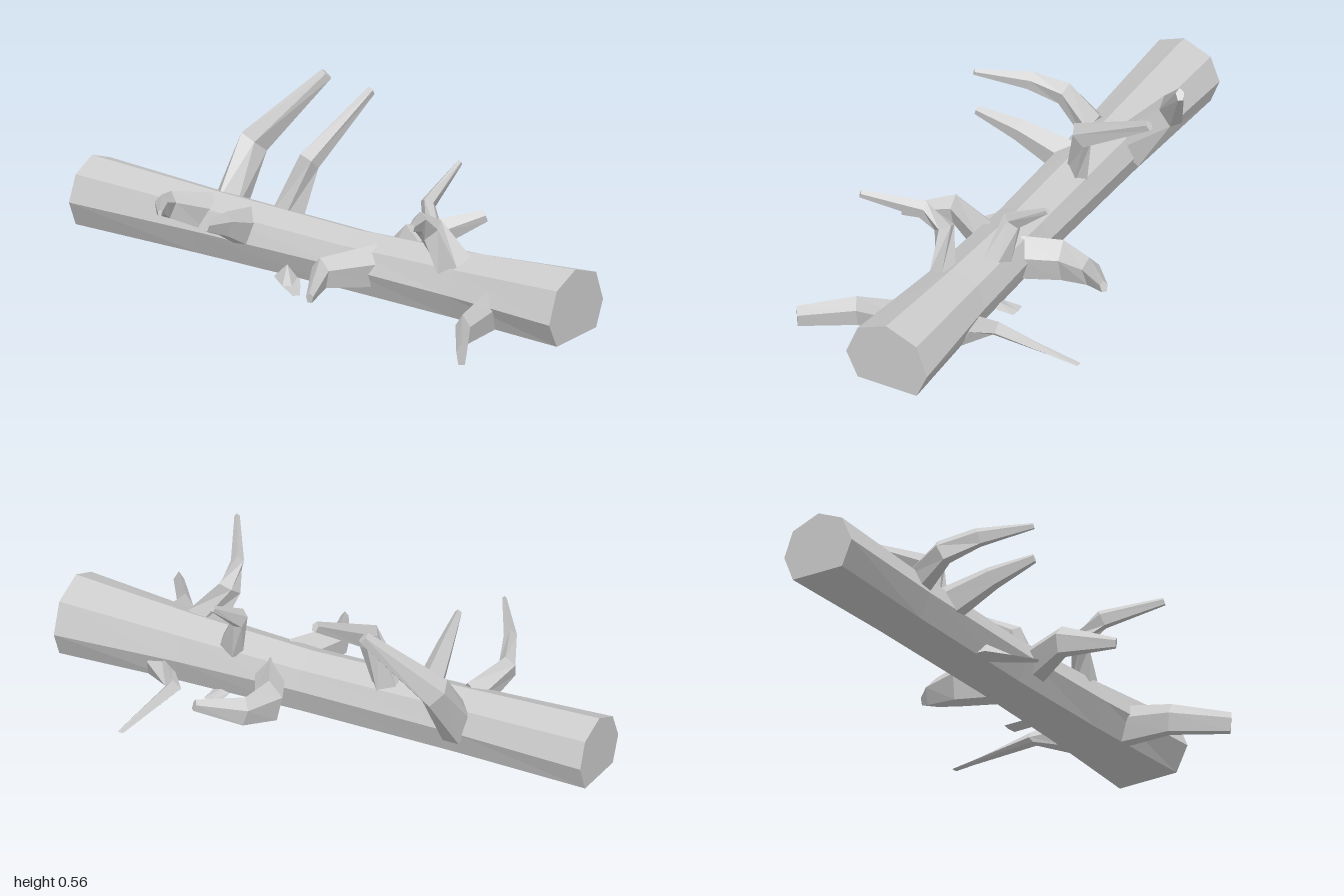
import * as THREE from 'three';

const material = new THREE.MeshStandardMaterial({ color: 0xcccccc, flatShading: true });

// Skin a list of rings (equal point counts, counter-clockwise about the path) and cap both ends
function loft(rings) {
  const n = rings[0].length;
  const pos = [];
  const tri = (...pts) => pts.forEach((p) => pos.push(p.x, p.y, p.z));
  for (let i = 0; i < rings.length - 1; i++) {
    for (let j = 0; j < n; j++) {
      const k = (j + 1) % n;
      const [a, b, c, d] = [rings[i][j], rings[i][k], rings[i + 1][k], rings[i + 1][j]];
      tri(a, b, c);
      tri(a, c, d);
    }
  }
  const first = rings[0], last = rings[rings.length - 1];
  for (let j = 1; j < n - 1; j++) {
    tri(first[0], first[j + 1], first[j]);
    tri(last[0], last[j], last[j + 1]);
  }
  const g = new THREE.BufferGeometry();
  g.setAttribute('position', new THREE.Float32BufferAttribute(pos, 3));
  g.computeVertexNormals();
  return g;
}

// Trunk: flat-bottomed heptagon, slimmer in the middle; rows are [z, width scale, height scale]
function trunkGeometry() {
  const section = [[-0.11, 0], [0.12, 0], [0.16, 0.09], [0.12, 0.2], [0, 0.245], [-0.11, 0.2], [-0.155, 0.09]];
  const rows = [[-1, 0.87, 0.9], [-0.5, 0.74, 0.83], [0.1, 0.7, 0.78], [0.55, 0.79, 0.86], [1, 1, 1]];
  return loft(rows.map(([z, sx, sy]) => section.map(([x, y]) =>
    new THREE.Vector3(-0.02 + x * sx, y === 0.09 ? y : y * sy, z))));
}

// Branch: tapered five-sided limb, taller than wide, pressed flat where it meets the ground
// Each point is [x, y, z, half height]
function branchGeometry(points, widthRatio = 0.65) {
  const up = new THREE.Vector3(0, 1, 0);
  const path = points.map(([x, y, z]) => new THREE.Vector3(x, y, z));
  const rings = path.map((p, i) => {
    const dir = path[Math.min(i + 1, path.length - 1)].clone().sub(path[Math.max(i - 1, 0)]).normalize();
    const side = up.clone().cross(dir).normalize();
    const rise = dir.clone().cross(side);
    const h = points[i][3];
    return Array.from({ length: 5 }, (_, j) => {
      const a = Math.PI / 2 + (j * Math.PI * 2) / 5;
      const v = p.clone()
        .addScaledVector(side, Math.cos(a) * h * widthRatio)
        .addScaledVector(rise, Math.sin(a) * h);
      v.y = Math.max(0, v.y);
      return v;
    });
  });
  return loft(rings);
}

const branches = {
  // Limbs on the left (+x)
  leftRearTallBranch: [[0.06, 0.1, -0.5, 0.08], [0.22, 0.305, -0.5, 0.06], [0.37, 0.545, -0.305, 0.024]],
  leftMiddleTallBranch: [[0.02, 0.15, -0.22, 0.06], [0.065, 0.355, -0.165, 0.048], [0.36, 0.53, -0.115, 0.02]],
  leftLowBranch: [[0.05, 0.085, 0.22, 0.085], [0.185, 0.08, 0.155, 0.08], [0.31, 0.095, 0.19, 0.053], [0.43, 0.148, 0.31, 0.022]],
  leftUprightBranch: [[0.05, 0.17, 0.37, 0.055], [0.08, 0.305, 0.32, 0.038], [0.23, 0.412, 0.345, 0.012]],
  leftFrontGroundBranch: [[0.07, 0.04, 0.64, 0.07], [0.145, 0, 0.54, 0.045], [0.48, -0.04, 0.565, 0.018]],
  leftGroundStub: [[0.06, -0.04, 0.395, 0.05], [0.14, -0.05, 0.395, 0.05]],
  // Limbs on the right (-x)
  rightRearBranch: [[-0.07, 0.14, -0.49, 0.07], [-0.22, 0.2, -0.545, 0.05], [-0.33, 0.245, -0.495, 0.036], [-0.485, 0.288, -0.39, 0.012]],
  rightRearShortBranch: [[-0.07, 0.12, -0.32, 0.075], [-0.25, 0.195, -0.29, 0.045], [-0.4, 0.24, -0.26, 0.018]],
  rightGroundTwig: [[-0.1, -0.02, -0.14, 0.07], [-0.17, -0.05, -0.07, 0.05], [-0.24, -0.06, 0, 0.02]],
  rightLowBranch: [[-0.07, 0.1, 0.21, 0.08], [-0.26, 0.11, 0.115, 0.058], [-0.43, 0.09, 0.19, 0.02]],
  rightUprightBranch: [[-0.07, 0.17, 0.53, 0.07], [-0.105, 0.295, 0.46, 0.05], [-0.185, 0.35, 0.47, 0.036], [-0.37, 0.408, 0.57, 0.015]],
  rightFrontGroundBranch: [[-0.07, 0.06, 0.71, 0.09], [-0.29, 0.045, 0.725, 0.062], [-0.46, 0.035, 0.84, 0.042]],
};

export function createModel() {
  const model = new THREE.Group();
  model.name = 'fallenLog';
  const add = (name, geometry) => {
    const mesh = new THREE.Mesh(geometry, material);
    mesh.name = name;
    model.add(mesh);
  };
  add('trunk', trunkGeometry());
  for (const [name, points] of Object.entries(branches)) {
    add(name, branchGeometry(points, name === 'rightFrontGroundBranch' ? 0.45 : 0.65));
  }
  return model;
}
